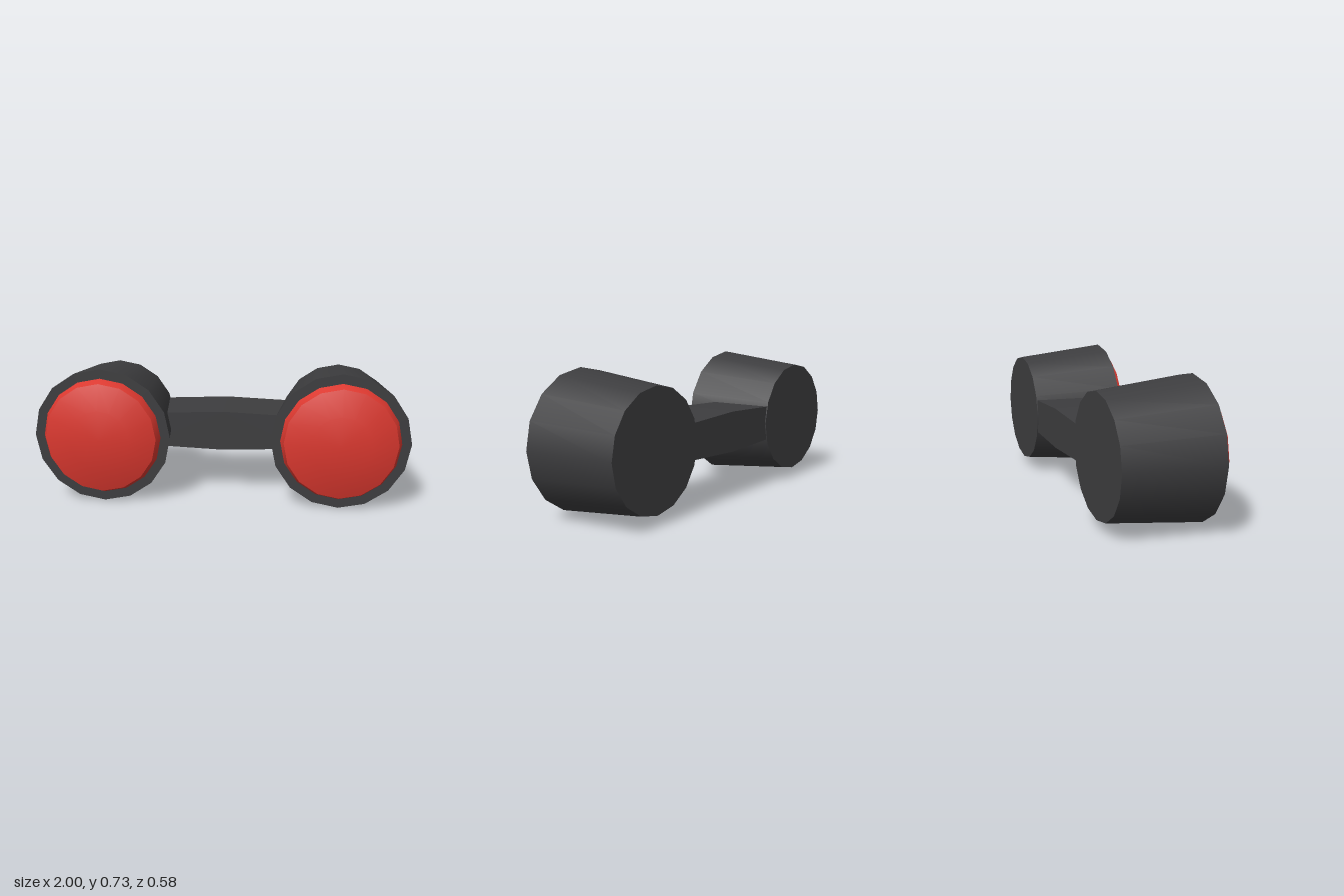
import * as THREE from 'three';
import { toCreasedNormals } from 'three/addons/utils/BufferGeometryUtils.js';

const CENTER_X = 0.634, CENTER_Y = 0.368, SIDES = 16;

export function createModel() {
  const model = new THREE.Group();
  const dark = new THREE.MeshStandardMaterial({ color: 0x3d3d3f });
  const red = new THREE.MeshStandardMaterial({ color: 0xdb382f });

  const add = (name, geometry, material, parent) => {
    const mesh = new THREE.Mesh(geometry, material);
    mesh.name = name;
    parent.add(mesh);
    return mesh;
  };

  // Tapered housing, wide end to the front
  const housing = new THREE.CylinderGeometry(0.366, 0.311, 0.493, SIDES);
  housing.rotateX(Math.PI / 2).translate(0, 0, -0.0415);

  // Shallow faceted dome standing out of the housing
  const profile = [[0.317, 0.203], [0.297, 0.247], [0.161, 0.288], [0, 0.289]]
    .map(([r, z]) => new THREE.Vector2(r, z));
  const dome = toCreasedNormals(new THREE.LatheGeometry(profile, SIDES).rotateX(Math.PI / 2), 0.6);

  for (const side of [-1, 1]) {
    const lamp = new THREE.Group();
    lamp.name = side > 0 ? 'leftLamp' : 'rightLamp';
    lamp.position.set(side * CENTER_X, CENTER_Y, 0);
    add('housing', housing, dark, lamp);
    add('lens', dome, red, lamp);
    model.add(lamp);
  }

  // Connecting bar, slightly thicker in the middle, ends sunk in the housings
  const shape = new THREE.Shape([
    [-0.45, -0.09], [0, -0.109], [0.45, -0.09],
    [0.45, 0.09], [0, 0.109], [-0.45, 0.09],
  ].map(([x, y]) => new THREE.Vector2(x, y)));
  const bar = new THREE.ExtrudeGeometry(shape, { depth: 0.334, bevelEnabled: false });
  add('connectingBar', bar, dark, model).position.set(0, CENTER_Y, -0.283);

  return model;
}
